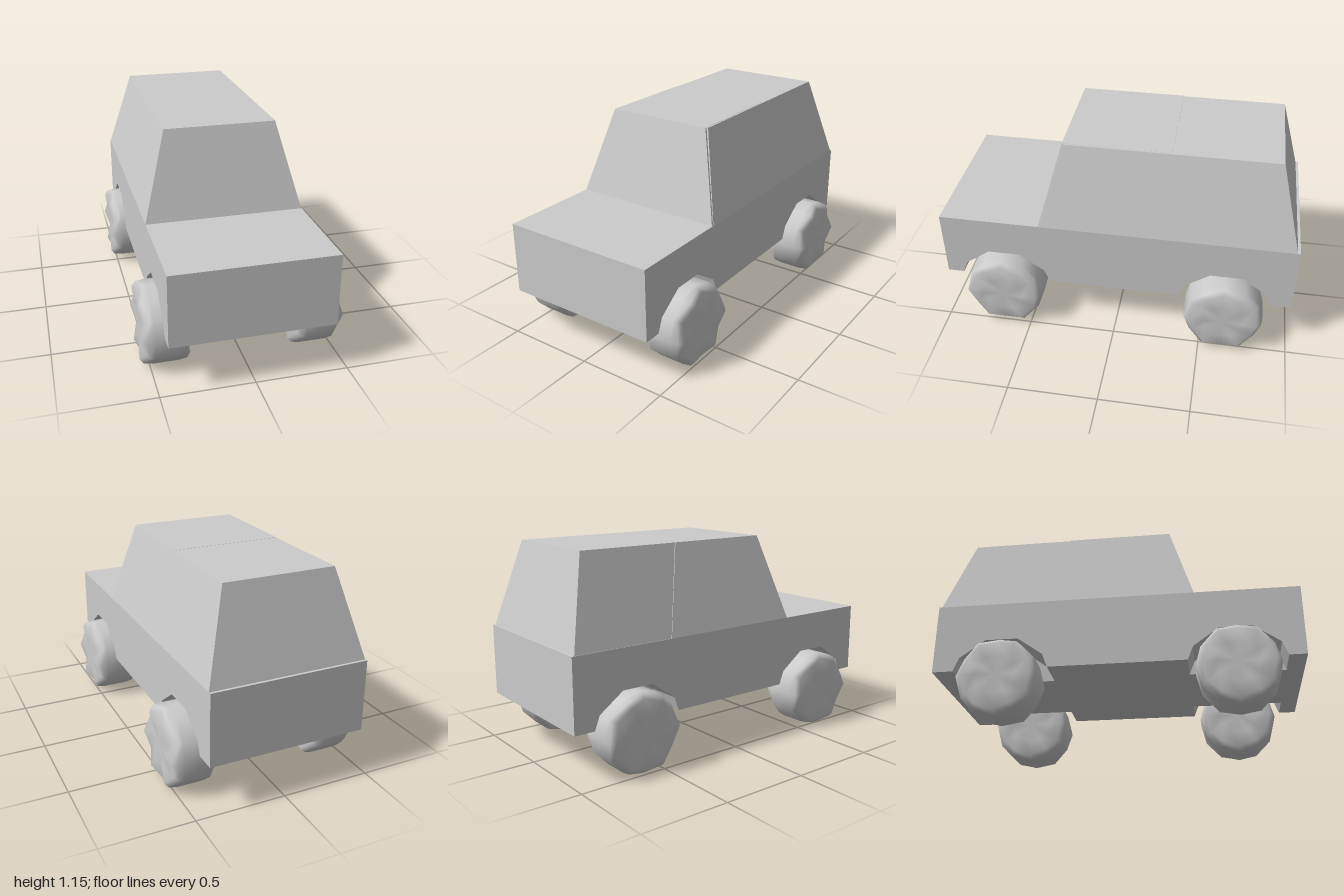
import * as THREE from 'three';
import { mergeVertices } from 'three/addons/utils/BufferGeometryUtils.js';

const X0 = -0.45, X1 = 0.425;          // body sides
const Y0 = 0.283, Y1 = 0.68;           // body floor and deck
const INNER = 0.25;                    // inner wall of the wheel wells
const FRONT = 0.645, REAR = -0.625;    // axle positions
const WHEEL_R = 0.222;

const material = new THREE.MeshStandardMaterial({ color: 0xcccccc });

function addMesh(parent, name, geometry) {
  const mesh = new THREE.Mesh(geometry, material);
  mesh.name = name;
  parent.add(mesh);
  return mesh;
}

// Side slab of the body with two angular wheel arches cut from its lower edge
function sideSlab(xMin, xMax) {
  const shape = new THREE.Shape();
  shape.moveTo(-1, Y0);
  const arch = [[-0.26, Y0], [-0.23, 0.36], [-0.09, 0.46], [0.09, 0.46], [0.23, 0.36], [0.26, Y0]];
  for (const axle of [REAR, FRONT]) {
    for (const [dz, y] of arch) shape.lineTo(axle + dz, y);
  }
  shape.lineTo(1, Y0);
  shape.lineTo(1, Y1);
  shape.lineTo(-1, Y1);
  const geometry = new THREE.ExtrudeGeometry(shape, { depth: xMax - xMin, bevelEnabled: false });
  geometry.rotateY(-Math.PI / 2);
  geometry.translate(xMax, 0, 0);
  return geometry;
}

// Box whose bottom and top rectangles differ: [xMin, xMax, zMin, zMax]
function frustum(bottom, top, yMin, yMax) {
  const geometry = new THREE.BoxGeometry(1, 1, 1);
  const p = geometry.attributes.position;
  for (let i = 0; i < p.count; i++) {
    const up = p.getY(i) > 0;
    const r = up ? top : bottom;
    p.setXYZ(i, p.getX(i) > 0 ? r[1] : r[0], up ? yMax : yMin, p.getZ(i) > 0 ? r[3] : r[2]);
  }
  geometry.computeVertexNormals();
  return geometry;
}

// Chunky twelve-sided tyre with six soft lobes on each end face
function wheelGeometry() {
  const profile = [
    [0, -0.122], [0.11, -0.122], [0.19, -0.122], [0.215, -0.102], [WHEEL_R, -0.07],
    [WHEEL_R, 0.07], [0.215, 0.102], [0.19, 0.122], [0.11, 0.122], [0, 0.122],
  ].map(([r, y]) => new THREE.Vector2(r, y));
  let geometry = new THREE.LatheGeometry(profile, 12);
  const p = geometry.attributes.position;
  for (let i = 0; i < p.count; i++) {
    const x = p.getX(i), y = p.getY(i), z = p.getZ(i);
    const r = Math.hypot(x, z);
    if (Math.abs(y) > 0.1) {
      const wave = 0.014 * Math.cos(6 * Math.atan2(x, z)) * Math.min(1, r / 0.19);
      p.setY(i, y + Math.sign(y) * wave);
    }
  }
  geometry.deleteAttribute('uv');
  geometry.deleteAttribute('normal');
  geometry = mergeVertices(geometry, 1e-4);
  geometry.computeVertexNormals();
  geometry.rotateZ(-Math.PI / 2);
  return geometry;
}

export function createModel() {
  const car = new THREE.Group();
  car.name = 'car';

  // Lower body: solid centre with an arched slab on each side
  const body = new THREE.Group();
  body.name = 'body';
  car.add(body);
  const centre = new THREE.BoxGeometry(2 * INNER, Y1 - Y0, 2);
  centre.translate(0, (Y0 + Y1) / 2, 0);
  addMesh(body, 'bodyCentre', centre);
  addMesh(body, 'leftSide', sideSlab(INNER, X1));
  addMesh(body, 'rightSide', sideSlab(X0, -INNER));

  // Cabin: full-length shell with a slightly offset front section
  const cabin = new THREE.Group();
  cabin.name = 'cabin';
  car.add(cabin);
  addMesh(cabin, 'cabinShell',
    frustum([-0.447, X1, -0.985, 0.42], [-0.313, 0.3, -0.86, 0.29], Y1, 1.155));
  addMesh(cabin, 'frontCabin',
    frustum([X0, 0.422, -0.41, 0.43], [-0.317, 0.29, -0.285, 0.3], Y1, 1.156));

  // Wheels, staggered slightly across the two axles
  const geometry = wheelGeometry();
  const wheels = [
    ['frontLeftWheel', 0.395, FRONT], ['frontRightWheel', -0.42, FRONT],
    ['rearLeftWheel', 0.415, REAR], ['rearRightWheel', -0.4, REAR],
  ];
  for (const [name, x, z] of wheels) {
    addMesh(car, name, geometry).position.set(x, WHEEL_R + 0.002, z);
  }
  return car;
}
